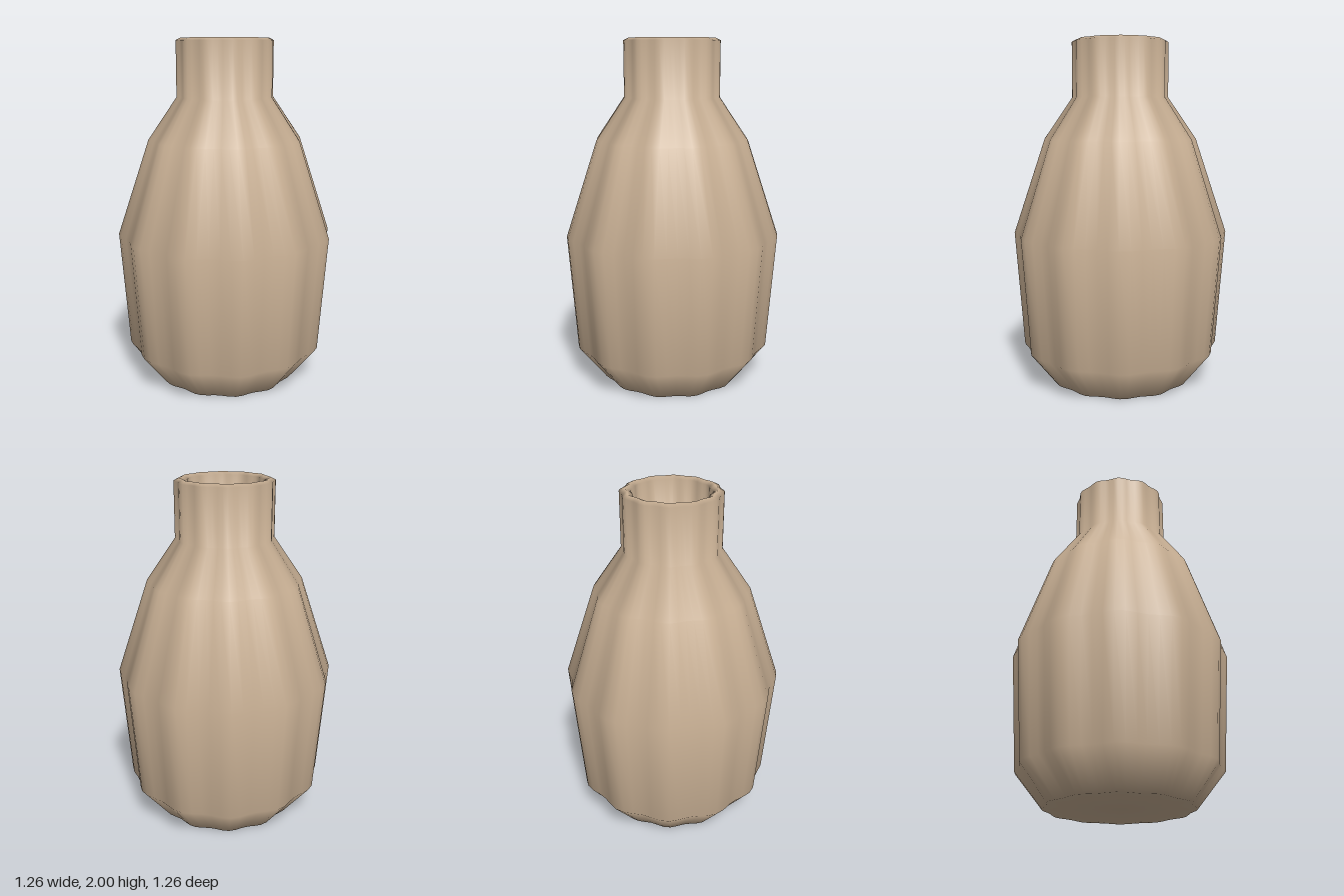
import * as THREE from 'three';
import { mergeVertices } from 'three/addons/utils/BufferGeometryUtils.js';

const LOBES = 12;
const SEGMENTS = 64;
const DEPTH = 0.025; // flute depth relative to the radius

// Turn a [radius, height] profile and press soft vertical flutes into it
function flutedLathe(profile) {
  const points = profile.map(([r, y]) => new THREE.Vector2(r / (1 + DEPTH), y));
  let geometry = new THREE.LatheGeometry(points, SEGMENTS);
  const pos = geometry.attributes.position;
  for (let i = 0; i < pos.count; i++) {
    const x = pos.getX(i), z = pos.getZ(i);
    const k = 1 + DEPTH * Math.cos(LOBES * Math.atan2(z, x));
    pos.setX(i, x * k);
    pos.setZ(i, z * k);
  }
  // Weld the seam and the poles so the shading is smooth all round
  geometry.deleteAttribute('uv');
  geometry.deleteAttribute('normal');
  geometry = mergeVertices(geometry, 1e-5);
  geometry.computeVertexNormals();
  return geometry;
}

export function createModel() {
  const clay = new THREE.MeshStandardMaterial({ color: 0xcbb296 });
  clay.name = 'clay';

  const vase = new THREE.Mesh(flutedLathe([
    [0, 0], [0.42, 0],            // base
    [0.58, 0.2], [0.63, 0.88],    // belly
    [0.445, 1.43], [0.28, 1.67],  // shoulder
    [0.28, 1.985], [0.25, 2], [0.22, 1.985], // neck and rim
    [0.21, 1.67], [0, 1.67],      // inside of the neck
  ]), clay);
  vase.name = 'flutedVase';

  const model = new THREE.Group();
  model.name = 'vase';
  model.add(vase);
  return model;
}
